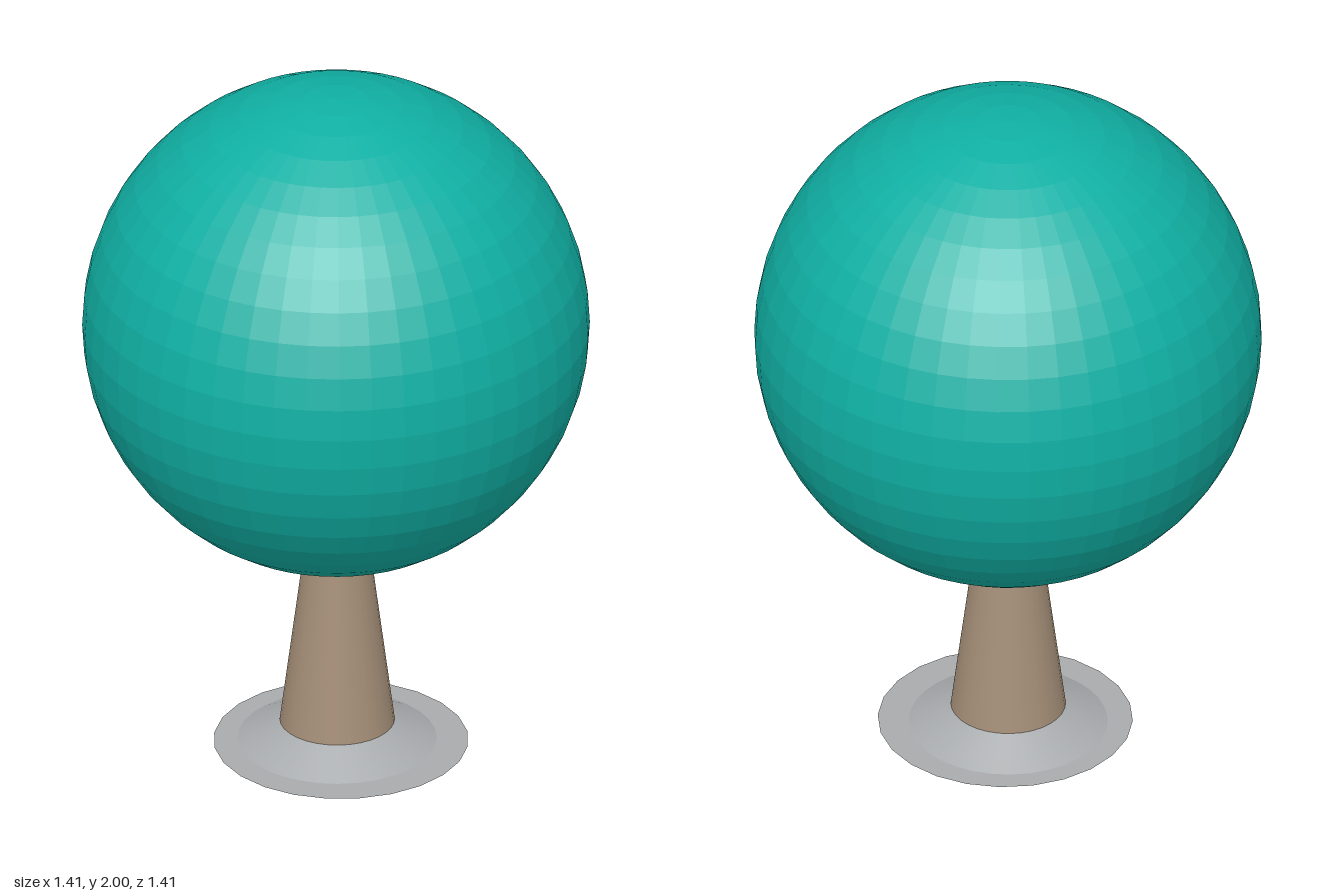
import * as THREE from 'three';

export function createModel() {
  const group = new THREE.Group();

  const add = (name, geometry, color, x, y, z, options = {}) => {
    const mesh = new THREE.Mesh(geometry, new THREE.MeshStandardMaterial({ color, ...options }));
    mesh.name = name;
    mesh.position.set(x, y, z);
    group.add(mesh);
    return mesh;
  };

  // Faceted round crown
  add('crown', new THREE.SphereGeometry(0.706, 48, 24), 0x10b0a4, 0, 1.294, 0, { flatShading: true });

  // Tapered trunk, from the ground into the crown
  const trunkTop = 0.64;
  add('trunk', new THREE.CylinderGeometry(0.086, 0.168, trunkTop, 32), 0xa58f78, -0.005, trunkTop / 2, 0.02);

  // Sloping mound around the foot of the trunk
  add('mound', new THREE.CylinderGeometry(0.16, 0.277, 0.06, 32, 1, true), 0xa8abad, -0.005, 0.032, 0.02,
    { side: THREE.DoubleSide });

  // Thin ground disc, open where the trunk stands
  const outline = new THREE.Shape().absellipse(0, 0, 0.355, 0.355, 0, Math.PI * 2);
  outline.holes.push(new THREE.Path().absellipse(-0.005, 0.015, 0.167, 0.167, 0, Math.PI * 2, true));
  const disc = new THREE.ShapeGeometry(outline, 12).rotateX(-Math.PI / 2);
  add('groundDisc', disc, 0xa8abad, 0, 0.002, 0.035, { side: THREE.DoubleSide });

  return group;
}
